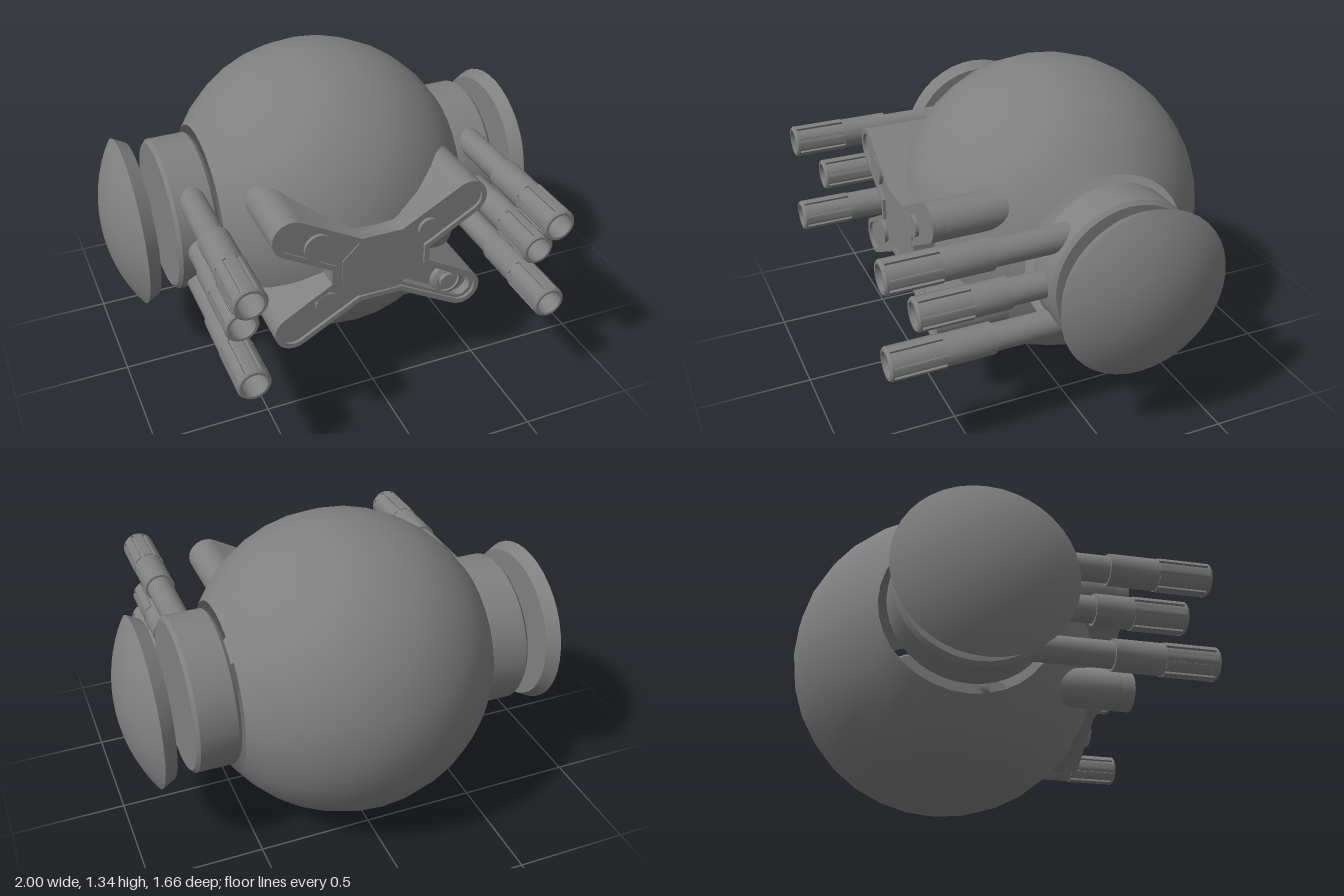
import * as THREE from 'three';
import { toCreasedNormals } from 'three/addons/utils/BufferGeometryUtils.js';

const CY = 0.668, CZ = -0.167, R = 0.668, CUT = 0.557;
const material = new THREE.MeshStandardMaterial({ color: 0x808080, side: THREE.DoubleSide });

function part(name, geometry, parent) {
  const mesh = new THREE.Mesh(toCreasedNormals(geometry, 0.55), material);
  mesh.name = name;
  parent.add(mesh);
  return mesh;
}

// Profile of [radius, distance along the axis], turned around x or z
function turned(profile, axis, segments = 32) {
  const g = new THREE.LatheGeometry(profile.map(([r, d]) => new THREE.Vector2(r, d)), segments);
  return axis === 'x' ? g.rotateZ(-Math.PI / 2) : g.rotateX(Math.PI / 2);
}

// Flat outline extruded from z0 to z1
function slab(shape, z0, z1) {
  return new THREE.ExtrudeGeometry(shape, { depth: z1 - z0, bevelEnabled: false, curveSegments: 10 })
    .translate(0, 0, z0);
}

// Four-armed cross with round ends, inset by d
function crossPoints(d) {
  const quarter = [[0.22 - d, 0.035 + 0.577 * d]];
  for (let i = 0; i <= 12; i++) {
    const a = -Math.PI / 3 + (i / 12) * Math.PI, r = 0.083 - d;
    quarter.push([0.39 + r * Math.cos(a), 0.23 + r * Math.sin(a)]);
  }
  quarter.push([0.09 + 0.268 * d, 0.157 - d]);
  const back = [...quarter].reverse();
  return [
    ...quarter,
    ...back.map(([x, y]) => [-x, y]),
    ...quarter.map(([x, y]) => [-x, -y]),
    ...back.map(([x, y]) => [x, -y]),
  ].map(([x, y]) => new THREE.Vector2(x, y));
}

// Slot with one round end, lying along the lower left arm
function slotPoints() {
  const pts = [];
  for (let i = 0; i <= 12; i++) {
    const a = -2 * Math.PI / 3 + (i / 12) * Math.PI;
    pts.push(new THREE.Vector2(0.385 + 0.05 * Math.cos(a), -0.227 + 0.05 * Math.sin(a)));
  }
  pts.push(new THREE.Vector2(0.18, -0.05), new THREE.Vector2(0.1, -0.122));
  return pts;
}

function buildCross() {
  const cross = new THREE.Group();
  cross.name = 'frontCross';
  cross.position.y = CY + 0.002;
  part('crossBase', slab(new THREE.Shape(crossPoints(0)), 0.17, 0.5), cross);

  const floor = new THREE.Shape(crossPoints(0));
  floor.holes.push(new THREE.Path(slotPoints()));
  part('crossFloor', slab(floor, 0.5, 0.54), cross);

  const rim = new THREE.Shape(crossPoints(0));
  rim.holes.push(new THREE.Path(crossPoints(0.022)));
  part('crossRim', slab(rim, 0.54, 0.554), cross);

  // Raised panel in the middle
  const panel = new THREE.Shape([
    [0.09, 0.14], [0.17, 0.06], [0.17, -0.04], [0.1, -0.12], [0.08, -0.14],
    [-0.09, -0.14], [-0.17, -0.06], [-0.17, 0.06], [-0.09, 0.14],
  ].map(([x, y]) => new THREE.Vector2(x, y)));
  part('centrePanel', slab(panel, 0.53, 0.546), cross);

  // Round studs, and a ringed port in the slot
  for (const [x, y, r] of [[-0.275, 0.16, 0.063], [-0.24, -0.13, 0.053], [0.214, 0.127, 0.047]]) {
    const stud = turned([[r, 0.52], [r, 0.556], [0, 0.556]], 'z', 24);
    part('stud', stud, cross).position.set(x, y, 0);
  }
  const port = turned([[0.073, 0.48], [0.073, 0.525], [0.054, 0.535], [0.054, 0.52],
    [0.037, 0.52], [0.037, 0.54], [0, 0.54]], 'z', 24);
  part('port', port, cross).position.set(0.33, -0.19, 0);
  return cross;
}

// Grooved muzzle outline with a bore
function muzzleShape() {
  const pts = [], grooves = 8;
  for (let i = 0; i < grooves; i++) {
    const a = ((i + 0.5) / grooves) * Math.PI * 2;
    for (const [da, r] of [[-0.12, 0.07], [-0.12, 0.06], [0.12, 0.06], [0.12, 0.07],
      [0.3, 0.071], [0.485, 0.071]]) {
      pts.push(new THREE.Vector2(r * Math.cos(a + da), r * Math.sin(a + da)));
    }
  }
  const shape = new THREE.Shape(pts);
  shape.holes.push(new THREE.Path().absarc(0, 0, 0.053, 0, Math.PI * 2, true));
  return shape;
}

function buildGun(tip, sleeveEnd) {
  const gun = new THREE.Group();
  gun.name = 'gun';
  const back = tip - 0.23;
  part('barrel', turned([[0, 0], [0.057, 0], [0.057, sleeveEnd + 0.02]], 'z', 20), gun);
  part('sleeve', turned([[0, sleeveEnd], [0.067, sleeveEnd], [0.067, back], [0, back]], 'z', 20), gun);
  part('muzzle', slab(muzzleShape(), back, tip - 0.015), gun);
  part('muzzleLip', turned([[0.071, tip - 0.015], [0.071, tip - 0.008], [0.064, tip],
    [0.053, tip], [0.053, tip - 0.015]], 'z', 20), gun);
  return gun;
}

function buildSide() {
  const side = new THREE.Group();

  // Drum that carries the guns
  const drum = turned([[0, 0.56], [0.325, 0.56], [0.3375, 0.575], [0.3375, 0.735],
    [0.322, 0.75], [0, 0.75]], 'x', 40);
  part('drum', drum, side).position.set(0, CY + 0.002, CZ);

  // Domed end disc, set apart from the drum
  const dome = [[0, 0.832], [0.34, 0.832], [0.369, 0.888]];
  const edge = Math.acos(CUT / R);
  for (let i = 1; i <= 8; i++) {
    const a = edge * (1 - i / 8);
    dome.push([R * Math.sin(a), 1 - R + R * Math.cos(a)]);
  }
  part('endDome', turned(dome, 'x', 40), side).position.set(0, CY + 0.002, CZ);

  for (const [y, tip, sleeveEnd] of [[0.865, 0.83, 0.39], [0.67, 0.71, 0.32], [0.475, 0.83, 0.39]]) {
    const gun = buildGun(tip, sleeveEnd);
    gun.position.set(0.655, y, 0);
    side.add(gun);
  }
  return side;
}

export function createModel() {
  const model = new THREE.Group();
  model.name = 'model';

  // Hollow ball, cut open on both sides
  const ball = [];
  const start = Math.asin(CUT / R);
  for (let i = 0; i <= 12; i++) {
    const a = -start + (i / 12) * 2 * start;
    ball.push([R * Math.cos(a), R * Math.sin(a)]);
  }
  part('ballBody', turned(ball, 'x', 32), model).position.set(0, CY, CZ);

  model.add(buildCross());

  const left = buildSide();
  left.name = 'leftSide';
  const right = buildSide();
  right.name = 'rightSide';
  right.scale.x = -1;
  model.add(left, right);
  return model;
}
